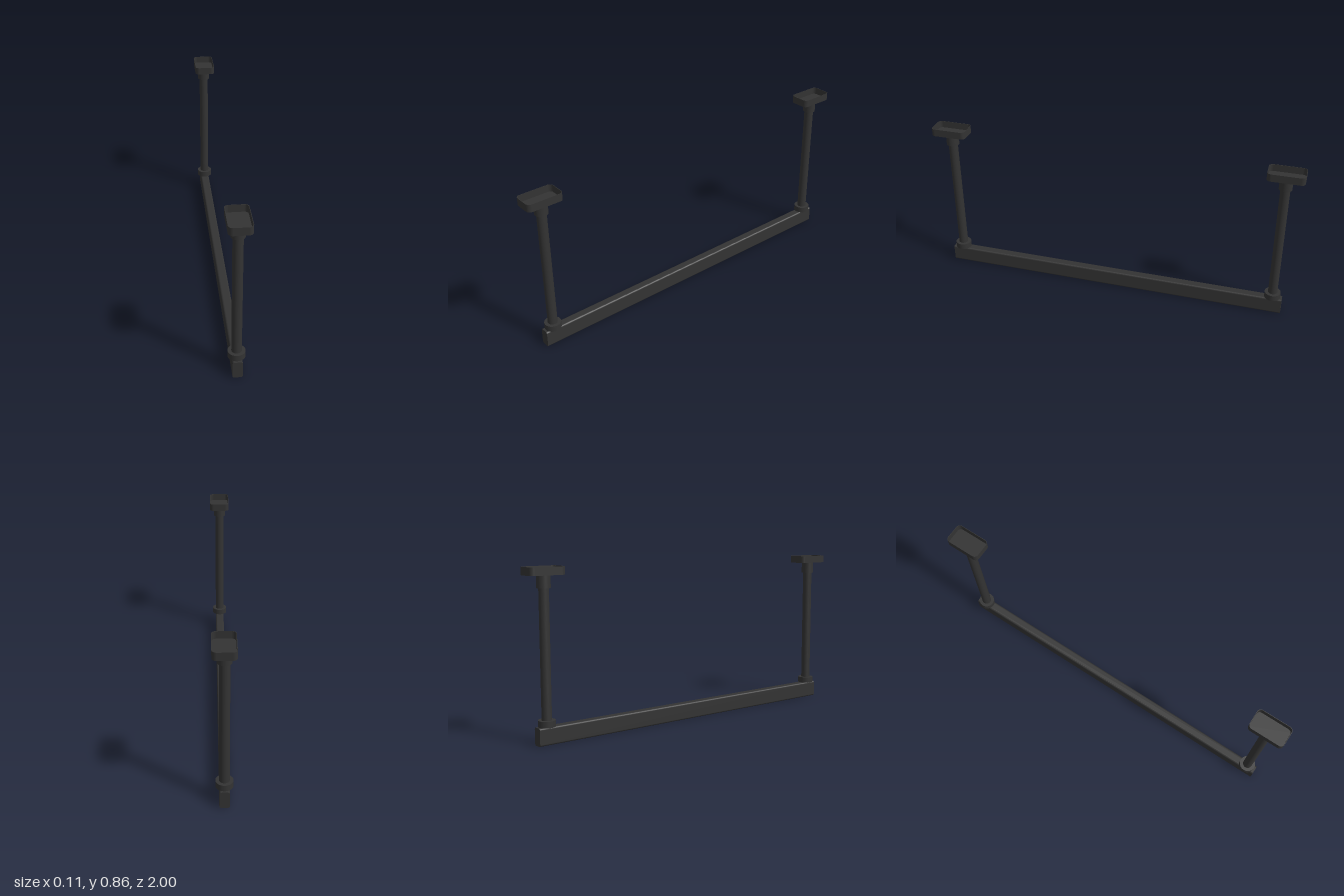
import * as THREE from 'three';

const dark = new THREE.MeshStandardMaterial({ color: 0x333333, side: THREE.DoubleSide });
const AXIS = -0.002; // x of the rods and the bar

function roundedRect(target, w, h, r) {
  const x = w / 2, y = h / 2;
  target.moveTo(-x + r, -y);
  target.lineTo(x - r, -y);
  target.absarc(x - r, -y + r, r, -Math.PI / 2, 0);
  target.lineTo(x, y - r);
  target.absarc(x - r, y - r, r, 0, Math.PI / 2);
  target.lineTo(-x + r, y);
  target.absarc(-x + r, y - r, r, Math.PI / 2, Math.PI);
  target.lineTo(-x, -y + r);
  target.absarc(-x + r, -y + r, r, Math.PI, Math.PI * 1.5);
  return target;
}

function add(parent, name, geometry, x = 0, y = 0, z = 0) {
  const mesh = new THREE.Mesh(geometry, dark);
  mesh.name = name;
  mesh.position.set(x, y, z);
  parent.add(mesh);
  return mesh;
}

// Upright cylinder between two heights
function post(parent, name, radius, y0, y1) {
  add(parent, name, new THREE.CylinderGeometry(radius, radius, y1 - y0, 40), AXIS, (y0 + y1) / 2);
}

// Slab lying flat, with its outline in x and z
function slab(shape, height) {
  return new THREE.ExtrudeGeometry(shape, { depth: height, bevelEnabled: false, curveSegments: 8 })
    .rotateX(-Math.PI / 2);
}

export function createModel() {
  const model = new THREE.Group();
  model.name = 'hangingRail';

  // Horizontal bar with rounded long edges
  const section = roundedRect(new THREE.Shape(), 0.05, 0.09, 0.01);
  const bar = new THREE.ExtrudeGeometry(section, { depth: 1.914, bevelEnabled: false, curveSegments: 6 });
  add(model, 'bar', bar.translate(0, 0, -0.957), AXIS, 0.045);

  // A hanger at each end
  for (const side of [1, -1]) {
    const hanger = new THREE.Group();
    hanger.name = side > 0 ? 'frontHanger' : 'backHanger';
    hanger.position.z = side * 0.904;
    model.add(hanger);

    post(hanger, 'lowerCollar', 0.043, 0.09, 0.122);
    post(hanger, 'rod', 0.025, 0.085, 0.77);
    post(hanger, 'upperCollar', 0.034, 0.76, 0.823);

    // Mounting plate: a shallow tray, open on top
    const floor = roundedRect(new THREE.Shape(), 0.112, 0.192, 0.022);
    add(hanger, 'plateFloor', slab(floor, 0.003), 0, 0.822);
    const wall = roundedRect(new THREE.Shape(), 0.112, 0.192, 0.022);
    wall.holes.push(roundedRect(new THREE.Path(), 0.107, 0.187, 0.0195));
    add(hanger, 'plateRim', slab(wall, 0.037), 0, 0.825);
  }
  return model;
}
